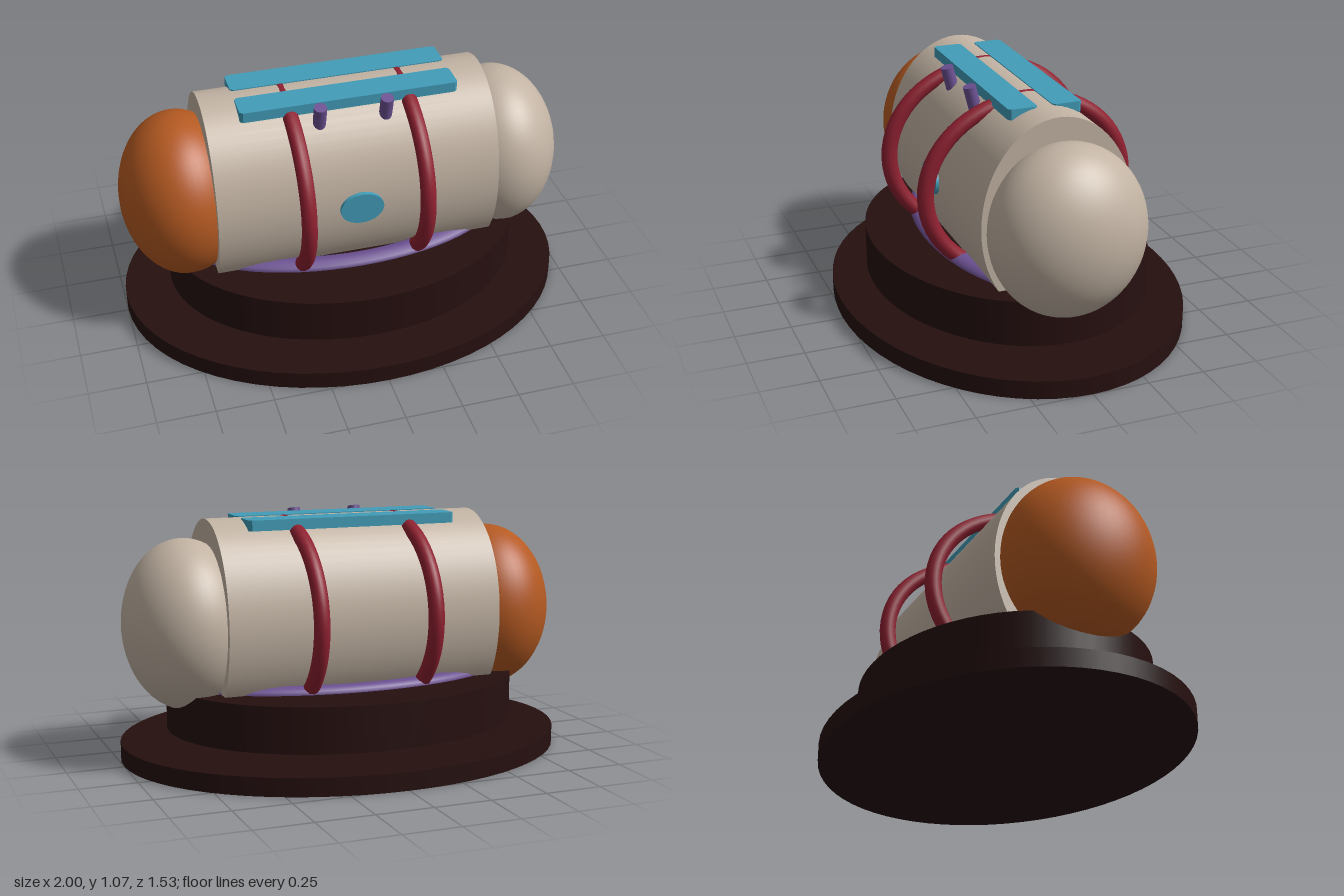
import * as THREE from 'three';

const mat = (name, color) => {
  const m = new THREE.MeshStandardMaterial({ color });
  m.name = name;
  return m;
};

export function createModel() {
  const model = new THREE.Group();
  const darkBrown = mat('dark brown', 0x260f0f);
  const beige = mat('beige', 0xc2b3a3);
  const orange = mat('orange', 0xb55a22);
  const red = mat('red', 0x8e2030);
  const blue = mat('blue', 0x429cb8);
  const purple = mat('purple', 0x6c5192);

  const add = (name, geometry, material, x, y, z) => {
    const mesh = new THREE.Mesh(geometry, material);
    mesh.name = name;
    mesh.position.set(x, y, z);
    model.add(mesh);
    return mesh;
  };

  // Oval plinth: a wide foot plate with a smaller block floating just above it
  const oval = (rx, h, rz) => new THREE.CylinderGeometry(1, 1, h, 64).scale(rx, 1, rz);
  add('footPlate', oval(1, 0.08, 0.765), darkBrown, 0, 0.04, 0);
  add('pedestal', oval(0.793, 0.2, 0.61), darkBrown, 0, 0.23, 0);

  // Oval seat ring between pedestal and body
  const seat = new THREE.TorusGeometry(1, 0.135, 12, 64).rotateX(Math.PI / 2);
  add('seatRing', seat.scale(0.655, 0.23, 0.333), purple, 0, 0.33, 0);

  // Main barrel, lying along x with an oval section
  const barrel = new THREE.CylinderGeometry(1, 1, 1.244, 64).rotateZ(Math.PI / 2);
  add('barrel', barrel.scale(1, 0.445, 0.336), beige, 0, 0.61, 0);

  // Rounded ends
  for (const [name, side, material] of [['leftEnd', 1, beige], ['rightEnd', -1, orange]]) {
    const end = new THREE.SphereGeometry(1, 48, 32).scale(0.268, 0.37, 0.335);
    add(name, end, material, side * 0.72, 0.606, 0);
  }

  for (const side of [-1, 1]) {
    // Hoops around the barrel
    const hoop = new THREE.TorusGeometry(0.452, 0.037, 12, 64).rotateY(Math.PI / 2);
    add('hoop', hoop.scale(0.92, 0.875, 1), red, side * 0.26, 0.63, 0);

    // Flat rails along the top, with slightly clipped corners
    const l = 0.475, w = 0.064, c = 0.012;
    const outline = new THREE.Shape([
      [-l + c, -w], [l - c, -w], [l, -w + c], [l, w - c],
      [l - c, w], [-l + c, w], [-l, w - c], [-l, -w + c],
    ].map(([x, y]) => new THREE.Vector2(x, y)));
    const rail = new THREE.ExtrudeGeometry(outline, { depth: 0.046, bevelEnabled: false });
    add('topRail', rail.rotateX(-Math.PI / 2), blue, 0, 1.011, side * 0.097);

    // Small pegs leaning out towards the front
    const peg = add('peg', new THREE.CylinderGeometry(0.028, 0.028, 0.14, 20), purple, side * 0.145, 0.995, 0.194);
    peg.rotation.x = 0.25;
  }

  // Oval button on the front
  const button = new THREE.CylinderGeometry(1, 1, 0.04, 40).rotateX(Math.PI / 2);
  add('frontButton', button.scale(0.096, 0.073, 1), blue, 0, 0.615, 0.33);

  return model;
}
